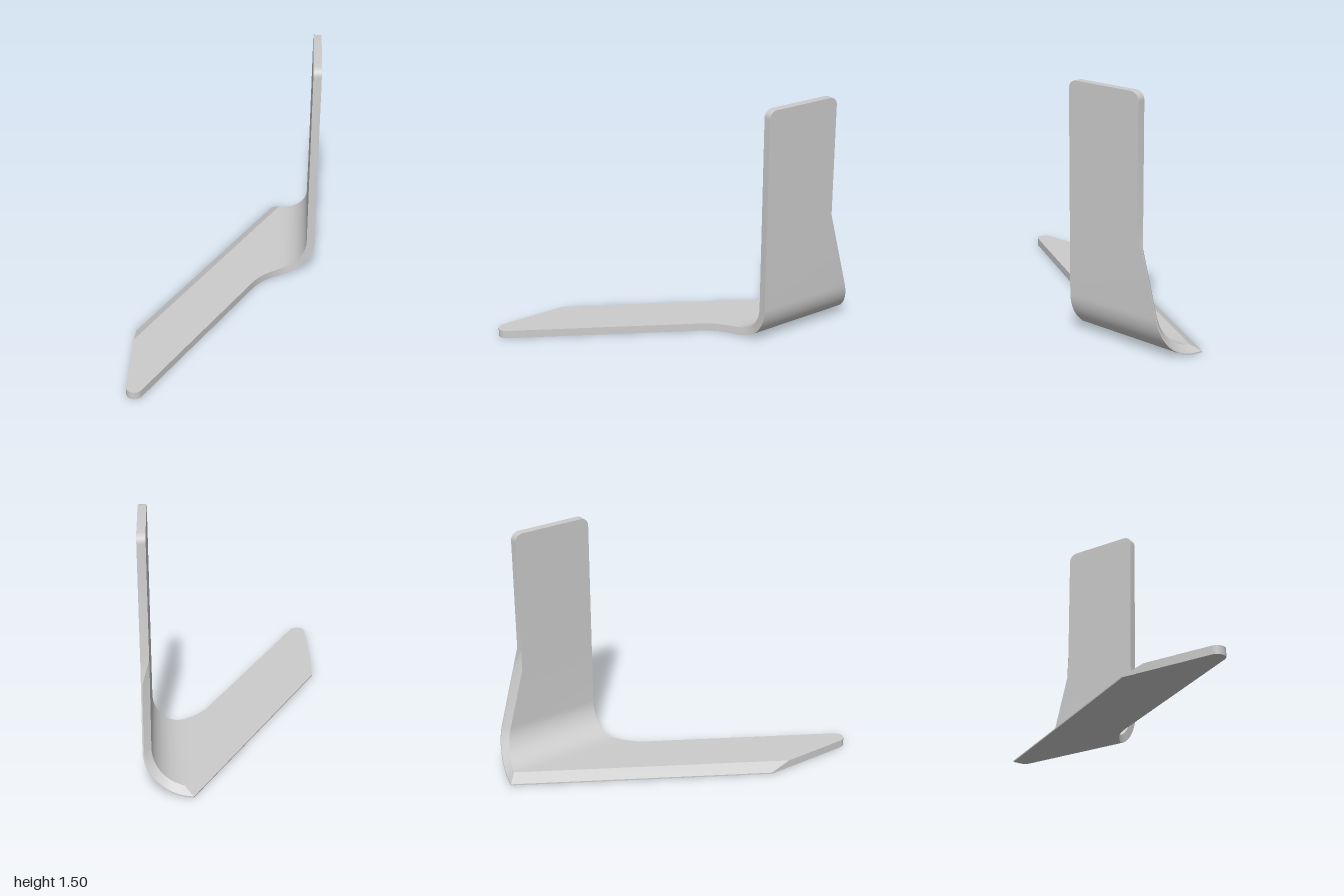
import * as THREE from 'three';
import { toCreasedNormals } from 'three/addons/utils/BufferGeometryUtils.js';

// Plate laid out flat: u runs along the plate and up the upright, z is its width,
// v its thickness measured from the outer (lower) face.
const T = 0.05, LAND = 0.008;
const R = 0.25, BEND_U = 0.295, BEND_LEN = (R - T / 2) * Math.PI / 2;
const UPRIGHT_U = BEND_U + BEND_LEN;
const TOP_U = UPRIGHT_U + 1.255;
const FRONT_Z = -0.255, BACK_Z = -0.755, CORNER = 0.05;
const START_U = -0.545, TIP_U = 0.26, TAPER_U = UPRIGHT_U + 0.505;
const FILLET = 0.38, FILLET_U = 0.477;

// Bend the flat layout into an L
function bend(u, v, z) {
  if (u <= BEND_U) return [u, v, z];
  if (u >= UPRIGHT_U) return [BEND_U + R - v, R + u - UPRIGHT_U, z];
  const a = (u - BEND_U) / BEND_LEN * Math.PI / 2;
  return [BEND_U + (R - v) * Math.sin(a), R - (R - v) * Math.cos(a), z];
}

// Amount the rounded top corners pull in
function cornerInset(u) {
  const d = Math.max(0, u - (TOP_U - CORNER));
  return CORNER - Math.sqrt(Math.max(0, CORNER * CORNER - d * d));
}

// Front edge: round nose, 60 degree edge, concave fillet, straight upright
function frontZ(u) {
  if (u <= -0.4517) return 0.95 + Math.sqrt(Math.max(0, 0.0025 - (u + 0.495) ** 2));
  if (u <= FILLET_U - FILLET * Math.sin(Math.PI / 3)) return 0.975 - 1.732 * (u + 0.4517);
  if (u <= FILLET_U) return FRONT_Z + FILLET - Math.sqrt(FILLET ** 2 - (u - FILLET_U) ** 2);
  return FRONT_Z - cornerInset(u);
}

// Back edge: slanted plate edge meeting the tapered upright edge;
// the two shifts give the bevelled inner edge
function backZ(u, plateShift, uprightShift) {
  const plate = 0.39 + plateShift - (1.39 / (TIP_U - START_U)) * (u - START_U);
  const taper = -1 + uprightShift + (0.245 / (TAPER_U - TIP_U)) * (u - TIP_U);
  return Math.max(plate, Math.min(taper, BACK_Z)) + cornerInset(u);
}

// Stations along the plate, denser wherever an edge or the plate curves
function stations() {
  const us = [TIP_U, 0.3136, TAPER_U - 0.135, TAPER_U, TOP_U - CORNER];
  for (let i = 0; i <= 10; i++) us.push(-0.495 + 0.05 * Math.cos(Math.PI * (1 - i / 12)));
  for (let i = 0; i <= 12; i++) us.push(FILLET_U - FILLET * Math.sin(Math.PI / 3 * i / 12));
  for (let i = 1; i <= 20; i++) us.push(BEND_U + BEND_LEN * i / 20);
  for (let i = 1; i <= 8; i++) us.push(TOP_U - CORNER + CORNER * Math.sin(Math.PI / 2 * i / 8));
  us.sort((a, b) => a - b);
  // keep the bevel's mitre free of extra stations
  return us.filter((u, i) => (i === 0 || u - us[i - 1] > 1e-5) && !(u > TIP_U + 1e-5 && u < 0.3135));
}

function bladeGeometry() {
  const pos = [], index = [], us = stations(), N = 5;
  for (const u of us) {
    const outer = backZ(u, 0, 0), inner = backZ(u, 0.135, 0.037), front = frontZ(u);
    const section = [[0, outer], [LAND, outer], [T, inner], [T, front], [0, front]];
    for (const [v, z] of section) pos.push(...bend(u, v, z));
  }
  for (let i = 0; i < us.length - 1; i++) {
    for (let j = 0; j < N; j++) {
      const a = i * N + j, b = i * N + (j + 1) % N;
      index.push(a, b, b + N, a, b + N, a + N);
    }
  }
  // end caps
  const e = (us.length - 1) * N;
  for (let j = 1; j < N - 1; j++) index.push(0, j + 1, j, e, e + j, e + j + 1);
  const g = new THREE.BufferGeometry();
  g.setAttribute('position', new THREE.Float32BufferAttribute(pos, 3));
  g.setIndex(index);
  return toCreasedNormals(g, 0.4);
}

export function createModel() {
  const group = new THREE.Group();
  group.name = 'bentBlade';
  const blade = new THREE.Mesh(bladeGeometry(), new THREE.MeshStandardMaterial({ color: 0xcccccc }));
  blade.name = 'blade';
  group.add(blade);
  return group;
}
